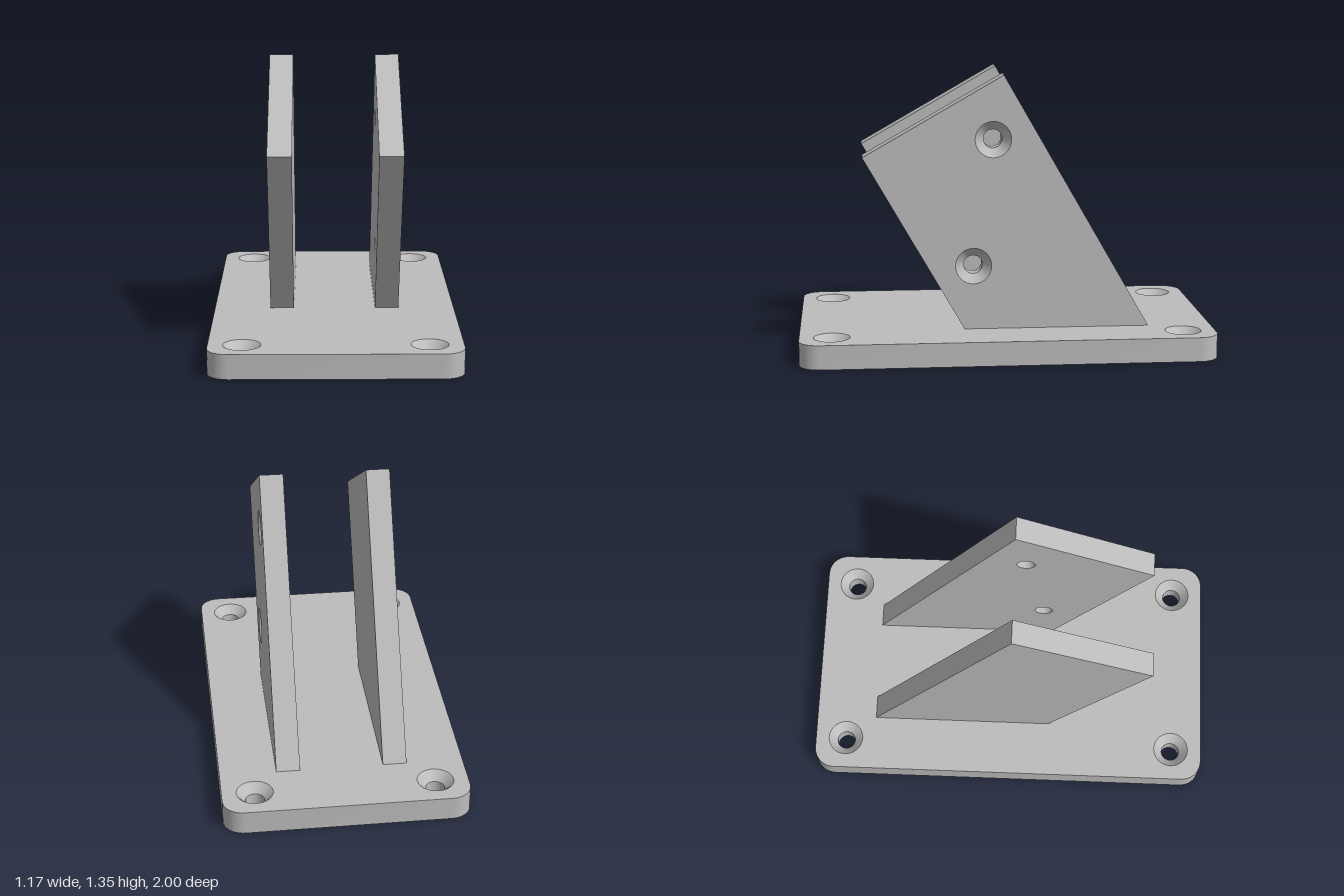
import * as THREE from 'three';
import { toCreasedNormals } from 'three/addons/utils/BufferGeometryUtils.js';

const HOLE = 0.045, SINK = 0.0875, SINK_DEPTH = 0.043, SEGMENTS = 40;

// points along an arc
function arc(cx, cy, r, start, sweep, n) {
  return Array.from({ length: n }, (_, i) => {
    const t = start + sweep * i;
    return new THREE.Vector2(cx + r * Math.cos(t), cy + r * Math.sin(t));
  });
}

// clockwise circle, so that hole walls face the axis
const circle = ([x, y], r) => arc(x, y, r, 0, -2 * Math.PI / SEGMENTS, SEGMENTS);

// flat plate from z = 0 to z = thickness, with holes countersunk from the top
function countersunkPlate(outline, thickness, centres) {
  if (THREE.ShapeUtils.isClockWise(outline)) outline = outline.slice().reverse();
  const pos = [];

  const cap = (radius, z, flip) => {
    const shape = new THREE.Shape(outline);
    shape.holes = centres.map((c) => new THREE.Path(circle(c, radius)));
    const g = new THREE.ShapeGeometry(shape);
    const p = g.attributes.position, idx = Array.from(g.index.array);
    if (flip) idx.reverse();
    idx.forEach((i) => pos.push(p.getX(i), p.getY(i), z));
  };
  const wall = (low, z0, high, z1) => low.forEach((a, i) => {
    const j = (i + 1) % low.length, b = low[j], c = high[j], d = high[i];
    pos.push(a.x, a.y, z0, b.x, b.y, z0, c.x, c.y, z1);
    pos.push(a.x, a.y, z0, c.x, c.y, z1, d.x, d.y, z1);
  });

  cap(HOLE, 0, true);
  cap(SINK, thickness, false);
  wall(outline, 0, outline, thickness);
  for (const c of centres) {
    const small = circle(c, HOLE), big = circle(c, SINK), z = thickness - SINK_DEPTH;
    wall(small, 0, small, z);
    wall(small, z, big, thickness);
  }
  const geometry = new THREE.BufferGeometry();
  geometry.setAttribute('position', new THREE.Float32BufferAttribute(pos, 3));
  return toCreasedNormals(geometry, 0.5);
}

export function createModel() {
  const group = new THREE.Group();
  const grey = new THREE.MeshStandardMaterial({ color: 0xbcbcbc });
  grey.name = 'grey';
  const add = (name, geometry) => {
    const mesh = new THREE.Mesh(geometry, grey);
    mesh.name = name;
    group.add(mesh);
    return mesh;
  };

  // base with rounded corners and four screw holes
  const W = 0.5875, L = 1, R = 0.1, BASE = 0.117;
  const corners = [[1, 1], [-1, 1], [-1, -1], [1, -1]];
  const baseOutline = corners.flatMap(([sx, sy], i) =>
    arc(sx * (W - R), sy * (L - R), R, i * Math.PI / 2, Math.PI / 20, 11));
  const baseHoles = corners.map(([sx, sy]) => [sx * 0.43, sy * 0.845]);
  add('basePlate', countersunkPlate(baseOutline, BASE, baseHoles).rotateX(-Math.PI / 2));

  // leaning side plates, given as [z, y]; their holes are staggered
  const profile = [[0.205, BASE], [0.69, 0.96], [0.013, 1.348], [-0.694, BASE]];
  const sides = [
    ['leftSidePlate', 1, [[0.064, 1.04], [0.16, 0.427]]],
    ['rightSidePlate', -1, [[0.4, 0.847], [-0.18, 0.622]]],
  ];
  for (const [name, side, holes] of sides) {
    const outline = profile.map(([z, y]) => new THREE.Vector2(-side * z, y));
    const centres = holes.map(([z, y]) => [-side * z, y]);
    const geometry = countersunkPlate(outline, 0.115, centres).rotateY(side * Math.PI / 2);
    add(name, geometry).position.x = side * 0.2;
  }
  return group;
}
